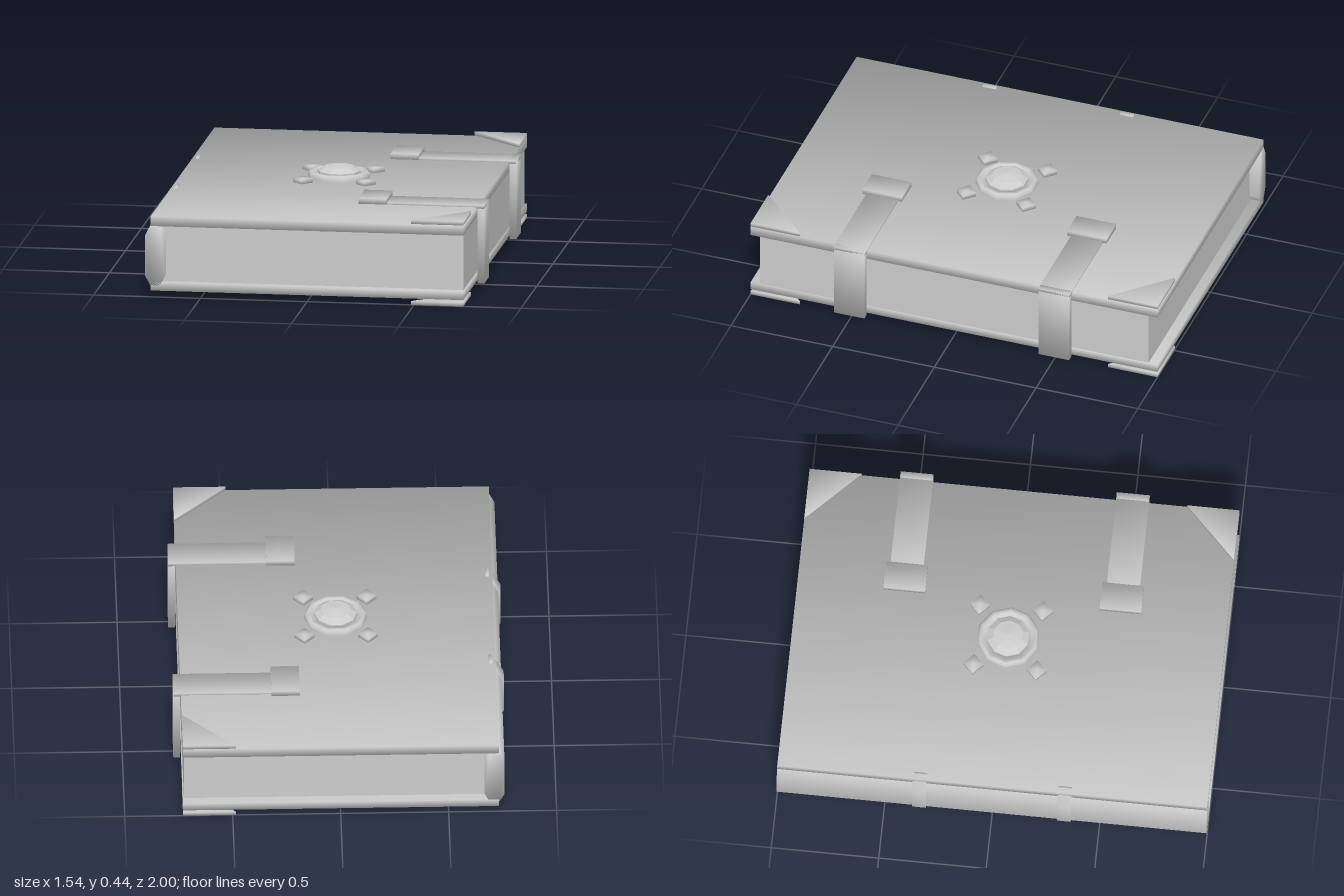
import * as THREE from 'three';

// Average the distinct face normals meeting at each corner, for soft shading
function soften(geometry) {
  const g = geometry.index ? geometry.toNonIndexed() : geometry;
  g.computeVertexNormals();
  const p = g.attributes.position, n = g.attributes.normal, corners = new Map();
  const key = i => [p.getX(i), p.getY(i), p.getZ(i)].map(v => Math.round(v * 1e4)).join();
  for (let i = 0; i < p.count; i++) {
    const v = new THREE.Vector3().fromBufferAttribute(n, i);
    if (!corners.has(key(i))) corners.set(key(i), []);
    const list = corners.get(key(i));
    if (!list.some(o => o.dot(v) > 0.999)) list.push(v);
  }
  for (let i = 0; i < p.count; i++) {
    const sum = new THREE.Vector3();
    corners.get(key(i)).forEach(v => sum.add(v));
    sum.normalize();
    n.setXYZ(i, sum.x, sum.y, sum.z);
  }
  return g;
}

// Box given by its limits on each axis
function box(x0, x1, y0, y1, z0, z1) {
  return new THREE.BoxGeometry(x1 - x0, y1 - y0, z1 - z0)
    .translate((x0 + x1) / 2, (y0 + y1) / 2, (z0 + z1) / 2);
}

// Outline in x and y, extruded along z between two limits
function prism(points, z0, z1) {
  const shape = new THREE.Shape(points.map(([x, y]) => new THREE.Vector2(x, y)));
  return new THREE.ExtrudeGeometry(shape, { depth: z1 - z0, bevelEnabled: false }).translate(0, 0, z0);
}

export function createModel() {
  const book = new THREE.Group();
  book.name = 'book';
  const grey = new THREE.MeshStandardMaterial({ color: 0xcccccc });
  grey.name = 'light grey';
  const add = (name, geometry) => {
    const mesh = new THREE.Mesh(geometry, grey);
    mesh.name = name;
    book.add(mesh);
    return mesh;
  };

  // Page block and the two covers
  add('pages', box(-0.7, 0.725, 0.05, 0.345, -0.955, 0.955));
  add('topCover', soften(box(-0.733, 0.73, 0.335, 0.381, -1, 1)));
  add('bottomCover', soften(box(-0.733, 0.73, 0.03, 0.068, -1, 1)));

  // Chamfered spine
  add('spine', soften(prism([
    [-0.735, 0.055], [-0.69, 0.055], [-0.667, 0.1], [-0.667, 0.29],
    [-0.69, 0.337], [-0.735, 0.337], [-0.759, 0.29], [-0.759, 0.1],
  ], -1, 1)));

  for (const s of [1, -1]) {
    // Raised band around the spine
    const z = s * 0.337;
    add('spineBand', soften(prism([
      [-0.7, 0.02], [-0.7, 0.386], [-0.712, 0.391], [-0.771, 0.29],
      [-0.771, 0.11], [-0.712, 0.013],
    ], z - 0.032, z + 0.032)));

    // Clasp: strap over the cover, strap down the fore-edge, head
    const c = s * 0.503;
    add('strapTop', soften(box(0.3, 0.765, 0.375, 0.39, c - 0.077, c + 0.077)));
    add('strapSide', soften(box(0.734, 0.765, 0.02, 0.39, c - 0.075, c + 0.075)));
    add('claspHead', soften(box(0.18, 0.31, 0.385, 0.411, c - 0.097, c + 0.097)));

    // Triangular corner guards, above and below
    for (const y of [0.383, 0]) {
      const corner = [[0.485, s], [0.73, s], [0.73, s * 0.757]];
      const plate = prism(corner, 0, 0.018).rotateX(Math.PI / 2).translate(0, y + 0.018, 0);
      add('cornerGuard', soften(plate));
    }

    // Diamond studs around the medallion
    for (const t of [1, -1]) {
      const stud = new THREE.CylinderGeometry(0.047, 0.047, 0.022, 4);
      add('stud', soften(stud)).position.set(s * 0.147, 0.391, t * 0.147);
    }
  }

  // Ten-sided medallion: stepped rim around a faceted gem
  const lathe = points => new THREE.LatheGeometry(points.map(([r, y]) => new THREE.Vector2(r, y)), 10, Math.PI / 2)
    .deleteAttribute('uv');
  add('medallionRim', soften(lathe([
    [0.145, 0.378], [0.147, 0.4], [0.135, 0.411], [0.12, 0.411], [0.115, 0.405], [0.1, 0.405], [0.09, 0.38],
  ])));
  const gem = lathe([[0.1, 0.38], [0.1, 0.413], [0.07, 0.432], [0, 0.441]]).toNonIndexed();
  gem.computeVertexNormals();
  add('gem', gem);

  return book;
}
